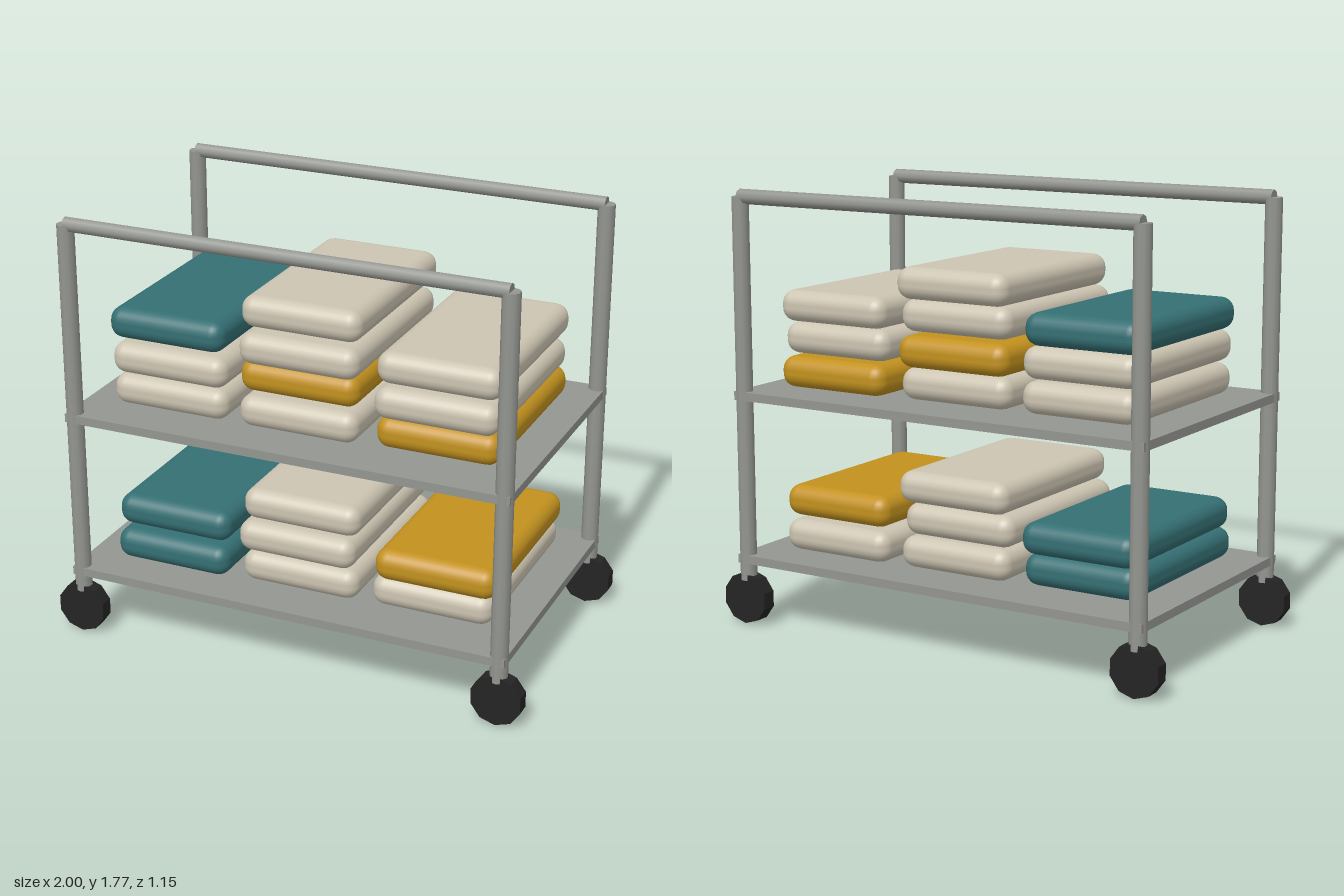
import * as THREE from 'three';
import { RoundedBoxGeometry } from 'three/addons/geometries/RoundedBoxGeometry.js';

const material = (name, color) => {
  const m = new THREE.MeshStandardMaterial({ color });
  m.name = name;
  return m;
};

export function createModel() {
  const metal = material('grey metal', 0x949691);
  const rubber = material('black rubber', 0x242424);
  const cream = material('cream fabric', 0xcdc5b2);
  const teal = material('teal fabric', 0x357074);
  const mustard = material('mustard fabric', 0xc3921f);

  const cart = new THREE.Group();
  cart.name = 'linenCart';
  const add = (name, geometry, mat, x, y, z) => {
    const mesh = new THREE.Mesh(geometry, mat);
    mesh.name = name;
    mesh.position.set(x, y, z);
    cart.add(mesh);
    return mesh;
  };

  // Corner posts and wheels
  const postX = 0.9, postZ = 0.54;
  const post = new THREE.CylinderGeometry(0.035, 0.035, 1.56, 10);
  const wheel = new THREE.CylinderGeometry(0.105, 0.105, 0.06, 10).toNonIndexed();
  wheel.rotateX(Math.PI / 2);
  wheel.computeVertexNormals();
  for (const sx of [-1, 1]) {
    for (const sz of [-1, 1]) {
      add('post', post, metal, sx * postX, 0.96, sz * postZ);
      add('wheel', wheel, rubber, sx * postX, 0.105, sz * postZ);
    }
  }

  // Top rails along both long sides
  const rail = new THREE.CylinderGeometry(0.03, 0.03, 1.8, 8);
  rail.rotateZ(Math.PI / 2);
  for (const sz of [-1, 1]) add('topRail', rail, metal, 0, 1.74, sz * postZ);

  // Shelves
  const shelf = new THREE.BoxGeometry(1.86, 0.035, 1.14);
  add('lowerShelf', shelf, metal, 0, 0.27, 0);
  add('upperShelf', shelf, metal, 0, 0.943, 0);

  // Stacks of folded linen, bottom to top: [colour, x, z]
  const height = 0.128, step = 0.133;
  const linen = new RoundedBoxGeometry(0.5, height, 0.825, 3, 0.055);
  const stack = (base, items) => items.forEach(([mat, x, z], i) =>
    add('foldedLinen', linen, mat, x, base + height / 2 + i * step, z));

  const lower = 0.293, upper = 0.967;
  stack(lower, [[teal, -0.552, 0.03], [teal, -0.562, -0.01]]);
  stack(lower, [[cream, 0, 0], [cream, -0.013, 0.01], [cream, 0, -0.014]]);
  stack(lower, [[cream, 0.553, -0.018], [mustard, 0.578, 0.02]]);
  stack(upper, [[cream, -0.55, 0.01], [cream, -0.55, 0.015], [teal, -0.575, -0.014]]);
  stack(upper, [[cream, 0, 0.01], [mustard, -0.01, -0.026], [cream, 0.01, 0.027], [cream, 0, -0.02]]);
  stack(upper, [[mustard, 0.563, -0.02], [cream, 0.567, 0.016], [cream, 0.567, -0.01]]);

  return cart;
}
